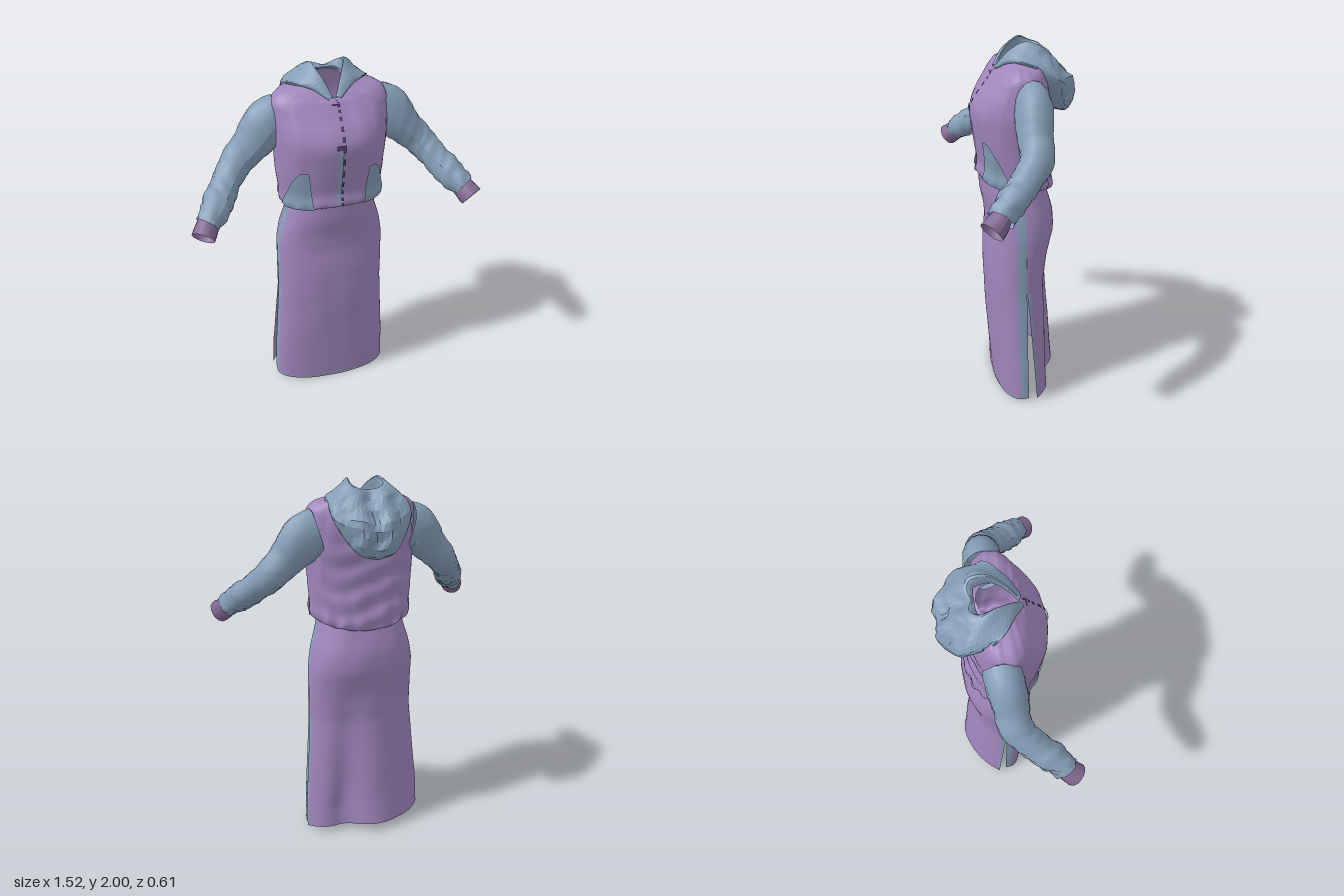
import * as THREE from 'three';

const mat = (name, color) => {
  const m = new THREE.MeshStandardMaterial({ color, side: THREE.DoubleSide });
  m.name = name;
  return m;
};
const V = (x, y, z) => new THREE.Vector3(x, y, z);
const spow = (a, p) => Math.sign(a) * Math.abs(a) ** p;
const curve = (pts) => new THREE.CatmullRomCurve3(pts.map((p) => V(...p)), false, 'catmullrom', 0.5);
// smooth repeatable cloth wrinkles, about -1..1
const wrinkle = (x, y, z, f) =>
  Math.sin(x * f + 1.7 * Math.sin(y * f * 0.8 + z * f)) * Math.cos(y * f * 1.3 - z * f * 0.7 + x * f * 0.5);

// grid of cloth from a function of (u, v), both 0..1
function sheet(fn, nu, nv, faceted = false) {
  const pos = [], idx = [];
  for (let j = 0; j <= nv; j++) for (let i = 0; i <= nu; i++) pos.push(...fn(i / nu, j / nv).toArray());
  for (let j = 0; j < nv; j++) for (let i = 0; i < nu; i++) {
    const a = j * (nu + 1) + i, b = a + nu + 1;
    idx.push(a, a + 1, b, a + 1, b + 1, b);
  }
  let g = new THREE.BufferGeometry();
  g.setAttribute('position', new THREE.Float32BufferAttribute(pos, 3));
  g.setIndex(idx);
  if (faceted) g = g.toNonIndexed();
  g.computeVertexNormals();
  return g;
}

// jacket rings: heights at front, side, back / half width, front z, back z
const ringY = curve([
  [1.32, 1.285, 1.25], [1.305, 1.27, 1.225], [1.33, 1.30, 1.26], [1.38, 1.36, 1.33], [1.45, 1.45, 1.44],
  [1.55, 1.55, 1.55], [1.65, 1.65, 1.65], [1.72, 1.72, 1.73], [1.78, 1.79, 1.80], [1.82, 1.845, 1.86],
  [1.845, 1.885, 1.90], [1.855, 1.905, 1.925], [1.86, 1.915, 1.935]]);
const ringS = curve([
  [0.23, 0.20, -0.14], [0.262, 0.212, -0.172], [0.276, 0.215, -0.18], [0.275, 0.207, -0.17], [0.283, 0.217, -0.157],
  [0.288, 0.23, -0.15], [0.293, 0.238, -0.152], [0.294, 0.213, -0.15], [0.293, 0.17, -0.145], [0.287, 0.14, -0.13],
  [0.24, 0.122, -0.12], [0.15, 0.11, -0.105], [0.085, 0.1, -0.09]]);
function torsoPoint(a, row, off = 0) {
  const h = ringY.getPoint(row / 12), s = ringS.getPoint(row / 12);
  const c = Math.cos(a), front = c > 0;
  const y = h.y + ((front ? h.x : h.z) - h.y) * c * c;
  // gathered at the hem, with slack rolls across the back
  const gather = Math.max(0, 1 - row / 4) * (0.008 - 0.004 * c) * Math.cos(a * 17 + 0.8 * Math.sin(row * 2));
  const roll = front ? 0 : 0.007 * c * c * Math.sin(Math.PI * Math.min(1, row / 8)) * Math.sin(y * 50 + 2 * Math.sin(a * 3));
  const n = gather + roll + 0.003 * wrinkle(Math.sin(a), y, c, 9);
  const k = off + n;
  return V(spow(Math.sin(a), 0.85) * (s.x + k), y + n * 0.6,
    (front ? s.y + k : -s.z + k) * spow(c, front ? 0.85 : 0.98));
}

// skirt levels: height, half width, front z / back z, front slit edge z, back slit edge z
const levels = [
  [1.32, 0.22, 0.20, -0.12, 0.015, 0.015], [1.2, 0.245, 0.195, -0.16, 0.012, 0.012],
  [1.1, 0.277, 0.172, -0.19, 0.01, 0.01], [1.0, 0.295, 0.166, -0.195, 0.008, 0.008],
  [0.85, 0.3, 0.178, -0.17, 0.006, 0.006], [0.693, 0.303, 0.18, -0.165, 0.005, 0.005],
  [0.4, 0.327, 0.165, -0.195, 0.002, -0.02], [0.2, 0.344, 0.152, -0.212, 0, -0.034],
  [0, 0.35, 0.14, -0.23, 0, -0.045]];
function skirtPoint(back, u, y, off = 0) {
  let i = 0;
  while (i < levels.length - 2 && levels[i + 1][0] > y) i++;
  const A = levels[i], B = levels[i + 1], t = (A[0] - y) / (A[0] - B[0]);
  const [, w, zF, zB, eF, eB] = A.map((a, k) => a + (B[k] - a) * t);
  const a = (u * Math.PI) / 2, sx = spow(Math.sin(a), 0.9);
  const low = Math.min(1, Math.max(0, (1 - y) / 0.85));
  let c = Math.max(0, Math.cos(a)) ** (back ? 0.9 + 0.9 * low : 0.8);
  // one deep hanging fold behind
  if (back) c *= 1 - 0.45 * low * Math.exp(-(((sx - 0.45) / 0.28) ** 2));
  const edge = back ? eB : eF, far = back ? zB : zF;
  const hem = Math.max(0, 1 - y / 0.3) * (back ? 0.02 + 0.03 * c : 0.018 * (1 - c));
  return V(sx * (w - (back ? 0 : 0.012 * low) + off), y + hem,
    edge + (far + (back ? -off : off) - edge) * c + 0.002 * wrinkle(sx, y, 0, 7));
}

// hood cross-sections from the front edge round to the middle of the back
const hoodSections = [
  [[0.003, 1.852, 0.104], [0.007, 1.87, 0.108], [0.016, 1.87, 0.114], [0.026, 1.867, 0.118], [0.03, 1.862, 0.118], [0.028, 1.857, 0.115]],
  [[0.04, 1.9, 0.055], [0.046, 1.95, 0.048], [0.075, 1.945, 0.055], [0.105, 1.925, 0.058], [0.115, 1.912, 0.055], [0.112, 1.9, 0.05]],
  [[0.083, 1.915, -0.01], [0.081, 1.997, -0.025], [0.13, 1.955, -0.025], [0.185, 1.915, -0.035], [0.21, 1.893, -0.045], [0.195, 1.875, -0.05]],
  [[0.07, 1.93, -0.085], [0.09, 1.97, -0.1], [0.16, 1.92, -0.14], [0.21, 1.83, -0.165], [0.15, 1.71, -0.195], [0.12, 1.72, -0.13]],
  [[0.04, 1.935, -0.1], [0.05, 1.95, -0.13], [0.09, 1.89, -0.185], [0.115, 1.79, -0.255], [0.09, 1.645, -0.25], [0.08, 1.67, -0.14]],
  [[0, 1.935, -0.1], [0, 1.945, -0.13], [0, 1.875, -0.195], [0, 1.775, -0.295], [0, 1.625, -0.265], [0, 1.66, -0.14]]];
const hoodCurves = hoodSections.map(curve);

export function createModel() {
  const model = new THREE.Group();
  const purple = mat('purple cloth', 0xa186bd);
  const cuffPurple = mat('dark purple cuff', 0x836893);
  const blue = mat('blue grey cloth', 0x849eb7);
  const dark = mat('dark zip', 0x4f3d68);
  const add = (name, geo, m, parent = model) => {
    const mesh = new THREE.Mesh(geo, m);
    mesh.name = name;
    parent.add(mesh);
    return mesh;
  };

  // jacket body
  add('jacketBody', sheet((u, v) => torsoPoint(u * Math.PI * 2, v * 12), 96, 60), purple);

  // pockets laid over the lower front
  for (const s of [1, -1]) {
    add(s > 0 ? 'leftPocket' : 'rightPocket', sheet((u, v) => {
      const a0 = 0.41 + 0.08 * v, a1 = 0.64 + 0.82 * (1 - v) ** 0.75;
      return torsoPoint(s * (a0 + (a1 - a0) * u), 1 + 3.7 * v, 0.007);
    }, 16, 20), blue);
  }

  // zip: tape below, a dashed line of teeth and two pulls
  const zipPatch = (name, a0, a1, r0, r1, off, n, m) => add(name,
    sheet((u, v) => torsoPoint(a0 + (a1 - a0) * u, r0 + (r1 - r0) * v, off), 2, n), m);
  zipPatch('zipTape', -0.022, 0.022, 1.3, 6, 0.005, 40, blue);
  for (let i = 0; i < 14; i++) zipPatch('zipTooth', 0.012, 0.045, 1.6 + i * 0.7, 1.95 + i * 0.7, 0.007, 2, dark);
  for (const row of [6, 9.6]) zipPatch('zipPull', -0.05, 0.05, row, row + 0.3, 0.009, 2, dark);

  // sleeves and cuffs
  const arm = curve([[0.25, 1.725, -0.02], [0.31, 1.708, -0.018], [0.39, 1.622, -0.005], [0.49, 1.522, 0.012],
    [0.572, 1.432, 0.1], [0.635, 1.365, 0.183], [0.675, 1.325, 0.222]]);
  // radii at even steps from shoulder to wrist
  const radius = curve([0.134, 0.118, 0.093, 0.082, 0.074, 0.074, 0.062].map((r) => [0, r, 0]));
  const limb = (path, n, rAt, ripple) => {
    const g = new THREE.TubeGeometry(path, n, 1, 16);
    const p = g.attributes.position, v = V(0, 0, 0);
    for (let i = 0; i < p.count; i++) {
      const t = Math.floor(i / 17) / n, c = path.getPointAt(t);
      v.fromBufferAttribute(p, i).sub(c);
      const r = rAt(t) * (1 + ripple * (0.15 + t * t) * wrinkle(v.x, v.y + t * 9, v.z, 3));
      v.multiplyScalar(r);
      v.z *= 0.68 + 0.32 * Math.min(1, t * 2.2);
      p.setXYZ(i, c.x + v.x, c.y + v.y, c.z + v.z);
    }
    g.computeVertexNormals();
    return g;
  };
  const cuffPath = new THREE.LineCurve3(V(0.662, 1.338, 0.205), V(0.707, 1.282, 0.272));
  for (const s of [1, -1]) {
    const side = new THREE.Group();
    side.name = s > 0 ? 'leftArm' : 'rightArm';
    side.scale.x = s;
    add('sleeve', limb(arm, 36, (t) => radius.getPoint(t).y, 0.14), blue, side);
    add('cuff', limb(cuffPath, 4, (t) => 0.056 + 0.005 * t, 0.04), cuffPurple, side);
    model.add(side);
  }

  // hood lying open and pleated over the shoulders and back
  add('hood', sheet((u, v) => {
    const s = u < 0.5 ? 1 : -1, k = 1 - Math.abs(2 * u - 1);
    const p = curve(hoodCurves.map((c) => c.getPoint(v).toArray())).getPoint(k);
    const x = s * p.x, n = 0.011 * k * Math.min(1, v * 3) * wrinkle(x, p.y, p.z, 28);
    const pleat = 0.018 * k * k * Math.sin(v * Math.PI) * Math.cos((x + 0.06) * 42);
    return V(x + n * 0.6, p.y + n * 0.5 + pleat * 0.4, p.z - n - pleat);
  }, 48, 18, true), blue);

  // skirt panels, side strips and front hem
  const panel = (name, back, u0, u1, y0, y1, m, off = 0) => add(name,
    sheet((u, v) => skirtPoint(back, u0 + (u1 - u0) * u, y0 + (y1 - y0) * v, off),
      Math.max(3, Math.round((u1 - u0) * 24)), Math.max(1, Math.round((y1 - y0) * 30))), m);
  const edge = 0.87, slit = 0.693;
  panel('skirtFront', false, -edge, edge, 0, 1.32, purple);
  panel('skirtFrontHem', false, -edge, edge, 0, 0.012, blue, 0.003);
  panel('skirtBack', true, -edge, edge, 0, 1.32, purple);
  for (const s of [1, -1]) {
    const a = s > 0 ? edge : -1, b = s > 0 ? 1 : -edge;
    panel('skirtFrontStrip', false, a, b, 0, 1.32, blue);
    panel('skirtBackStrip', true, a, b, 0, slit, blue);
    panel('skirtBackSide', true, a, b, slit, 1.32, purple);
  }
  return model;
}
